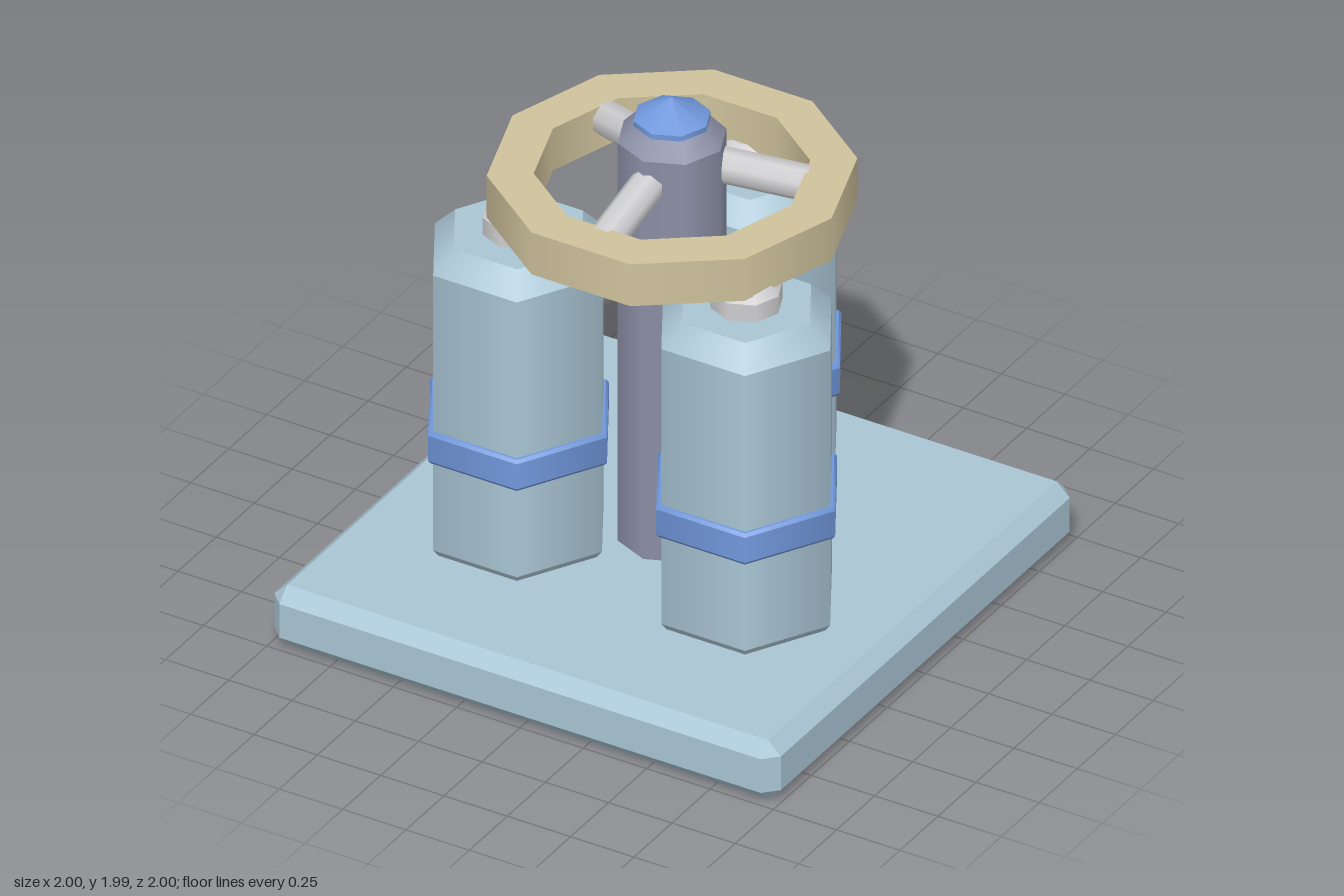
import * as THREE from 'three';
import { mergeGeometries } from 'three/addons/utils/BufferGeometryUtils.js';
import { ConvexGeometry } from 'three/addons/geometries/ConvexGeometry.js';

const material = (name, color) => {
  const m = new THREE.MeshStandardMaterial({ color });
  m.name = name;
  return m;
};

// Stack of smooth-sided frustums with sharp edges between them; profile is [radius, y] from bottom to top.
function turned(profile, sides) {
  const parts = [];
  for (let i = 0; i < profile.length - 1; i++) {
    const [r0, y0] = profile[i], [r1, y1] = profile[i + 1];
    parts.push(new THREE.CylinderGeometry(r1, r0, y1 - y0, sides, 1, true, Math.PI / 2)
      .translate(0, (y0 + y1) / 2, 0));
  }
  const [rb, yb] = profile[0], [rt, yt] = profile[profile.length - 1];
  if (rb > 0) parts.push(new THREE.CircleGeometry(rb, sides).rotateX(Math.PI / 2).translate(0, yb, 0));
  if (rt > 0) parts.push(new THREE.CircleGeometry(rt, sides).rotateX(-Math.PI / 2).translate(0, yt, 0));
  return mergeGeometries(parts);
}

// Box with all edges and corners chamfered
function chamferedBox(w, h, d, c) {
  const points = [];
  for (const x of [-1, 1]) for (const y of [-1, 1]) for (const z of [-1, 1]) {
    const X = x * w / 2, Y = y * h / 2, Z = z * d / 2;
    points.push(
      new THREE.Vector3(X, Y - y * c, Z - z * c),
      new THREE.Vector3(X - x * c, Y, Z - z * c),
      new THREE.Vector3(X - x * c, Y - y * c, Z));
  }
  return new ConvexGeometry(points);
}

// Flat-topped ring with smooth faceted walls
function ring(outer, inner, y0, y1, sides) {
  const h = y1 - y0, mid = (y0 + y1) / 2;
  const wall = (r) => new THREE.CylinderGeometry(r, r, h, sides, 1, true, Math.PI / 2).translate(0, mid, 0);
  const inside = wall(inner);
  const index = inside.index.array;
  for (let i = 0; i < index.length; i += 3) [index[i], index[i + 1]] = [index[i + 1], index[i]];
  const n = inside.attributes.normal;
  for (let i = 0; i < n.count; i++) n.setXYZ(i, -n.getX(i), 0, -n.getZ(i));
  const face = () => new THREE.RingGeometry(inner, outer, sides, 1);
  return mergeGeometries([wall(outer), inside,
    face().rotateX(-Math.PI / 2).translate(0, y1, 0),
    face().rotateX(Math.PI / 2).translate(0, y0, 0)]);
}

export function createModel() {
  const paleBlue = material('pale blue paint', 0xa9c5d4);
  const blue = material('blue trim', 0x7198dc);
  const slate = material('slate metal', 0x8c90a6);
  const tan = material('tan rim', 0xcfc29c);
  const steel = material('light steel', 0xd0d0d2);

  const model = new THREE.Group();
  const add = (parent, name, geometry, mat) => {
    const mesh = new THREE.Mesh(geometry, mat);
    mesh.name = name;
    parent.add(mesh);
    return mesh;
  };

  // Base plate
  add(model, 'basePlate', chamferedBox(2, 0.235, 2, 0.05), paleBlue).position.y = 0.1175;

  // Central column and its pointed cap
  add(model, 'column', turned([[0.19, 0.23], [0.19, 1.83], [0.135, 1.89]], 8), slate);
  add(model, 'columnCap', turned([[0.135, 1.885], [0.135, 1.91], [0, 1.985]], 8), blue);

  // Three hexagonal canisters, each with a band and a neck
  const body = turned([[0.31, 0.235], [0.33, 0.262], [0.33, 1.365], [0.25, 1.447]], 6);
  const band = turned([[0.34, 0.615], [0.35, 0.627], [0.35, 0.728], [0.34, 0.74]], 6);
  const neck = turned([[0.125, 1.44], [0.125, 1.515], [0.085, 1.56]], 8);
  for (let i = 0; i < 3; i++) {
    const angle = Math.PI + i * Math.PI * 2 / 3;
    const canister = new THREE.Group();
    canister.name = 'canister' + (i + 1);
    canister.position.set(Math.sin(angle) * 0.52, 0, Math.cos(angle) * 0.52);
    add(canister, 'canisterBody', body, paleBlue);
    add(canister, 'canisterBand', band, blue);
    add(canister, 'canisterNeck', neck, steel);
    model.add(canister);
  }

  // Ten-sided hand wheel
  add(model, 'wheelRim', ring(0.63, 0.47, 1.537, 1.705, 10), tan);

  // Three spokes sloping down from the column to the rim
  const from = new THREE.Vector3(0, 1.735, 0.1), to = new THREE.Vector3(0, 1.63, 0.52);
  const along = to.clone().sub(from);
  const spoke = new THREE.CylinderGeometry(0.064, 0.064, along.length(), 8, 1, false, Math.PI / 8)
    .rotateX(Math.atan2(along.z, along.y))
    .translate(0, (from.y + to.y) / 2, (from.z + to.z) / 2);
  for (let i = 0; i < 3; i++) {
    add(model, 'spoke' + (i + 1), spoke, steel).rotation.y = i * Math.PI * 2 / 3;
  }

  return model;
}
